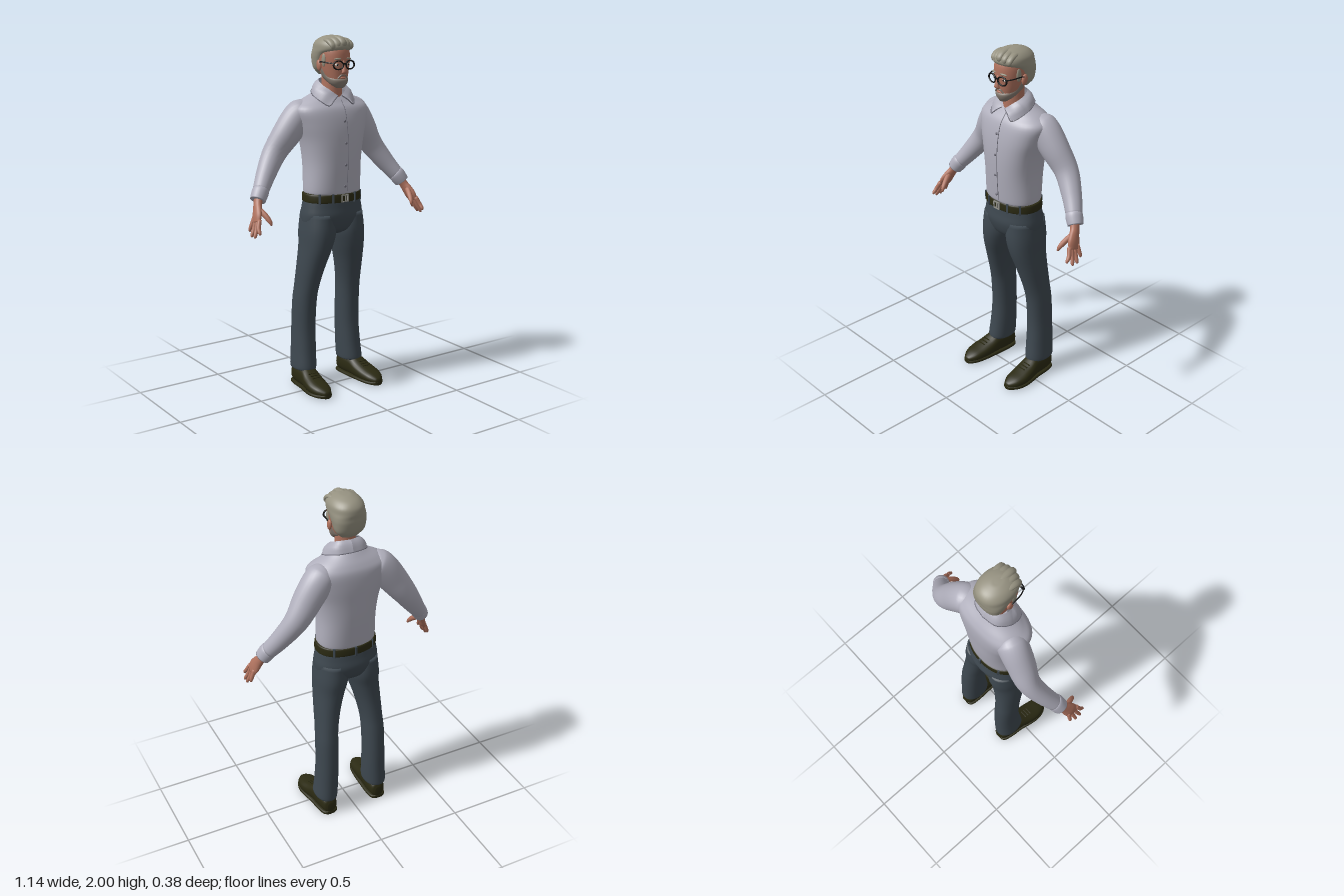
import * as THREE from 'three';

const mat = (name, color, side = THREE.FrontSide) => {
  const m = new THREE.MeshStandardMaterial({ color, side });
  m.name = name;
  return m;
};
const V = (x, y, z) => new THREE.Vector3(x, y, z);
const UP = V(0, 1, 0), FORWARD = V(0, 0, 1);

export function createModel() {
  const shirt = mat('shirt', 0xb0afbc, THREE.DoubleSide);
  const seam = mat('seam', 0x74737f);
  const trousers = mat('trousers', 0x3e4850);
  const leather = mat('leather', 0x2b2a13);
  const skin = mat('skin', 0xb0735f);
  const hair = mat('hair', 0x969281);
  const beard = mat('beard', 0x877c72);
  const black = mat('black', 0x121212);
  const eyeWhite = mat('eye white', 0xd8d4cc);
  const metal = mat('metal', 0x8e8d86);

  const model = new THREE.Group();
  model.name = 'man';
  const add = (name, geo, material, parent = model) => {
    const m = new THREE.Mesh(geo, material);
    m.name = name;
    parent.add(m);
    return m;
  };

  // Smooth closed skin through sections [x, y, z, halfA, halfB, squareness].
  // With an axis all rings stay parallel, otherwise they follow the path.
  function loft(sections, { axis = null, n = 28, sub = 5 } = {}) {
    const path = new THREE.CatmullRomCurve3(sections.map(s => V(s[0], s[1], s[2])), false, 'catmullrom');
    const size = new THREE.CatmullRomCurve3(sections.map(s => V(s[3], s[4], s[5] ?? 2)), false, 'catmullrom');
    const rows = (sections.length - 1) * sub, pos = [], idx = [];
    const power = (v, p) => Math.sign(v) * Math.pow(Math.abs(v), 2 / p);
    for (let i = 0; i <= rows; i++) {
      const c = path.getPoint(i / rows), d = size.getPoint(i / rows);
      const t = axis ? axis.clone() : path.getTangent(i / rows);
      const u = V(1, 0, 0).addScaledVector(t, -t.x).normalize();
      const v = t.clone().cross(u);
      for (let j = 0; j < n; j++) {
        const a = j / n * Math.PI * 2;
        const q = c.clone().addScaledVector(u, d.x * power(Math.cos(a), d.z))
          .addScaledVector(v, d.y * power(Math.sin(a), d.z));
        pos.push(q.x, q.y, q.z);
        if (i < rows) {
          const A = i * n + j, B = i * n + (j + 1) % n;
          idx.push(A, B, B + n, A, B + n, A + n);
        }
      }
    }
    const first = path.getPoint(0), last = path.getPoint(1), k = pos.length / 3;
    pos.push(first.x, first.y, first.z, last.x, last.y, last.z);
    for (let j = 0; j < n; j++) {
      const e = (j + 1) % n;
      idx.push(k, e, j, k + 1, rows * n + j, rows * n + e);
    }
    const g = new THREE.BufferGeometry();
    g.setAttribute('position', new THREE.Float32BufferAttribute(pos, 3));
    g.setIndex(idx);
    g.computeVertexNormals();
    return g;
  }
  const flip = (list, s) => list.map(([x, ...rest]) => [x * s, ...rest]);
  const tube = (pts, r, seg = 24) => new THREE.TubeGeometry(
    new THREE.CatmullRomCurve3(pts.map(p => V(...p))), seg, r, 6);
  const blob = (name, x, y, z, a, b, c, material, parent) => {
    const m = add(name, new THREE.SphereGeometry(1, 18, 12), material, parent);
    m.position.set(x, y, z);
    m.scale.set(a, b, c);
    return m;
  };
  const box = (name, x, y, z, w, h, d, material, parent) => {
    const m = add(name, new THREE.BoxGeometry(w, h, d), material, parent);
    m.position.set(x, y, z);
    return m;
  };

  // Shirt body
  add('shirtBody', loft([
    [0, 1.135, -.032, .164, .122, 2.3], [0, 1.16, -.032, .167, .127, 2.3], [0, 1.3, -.035, .163, .14, 2.4],
    [0, 1.42, -.038, .178, .144, 2.5], [0, 1.52, -.045, .208, .141, 2.5], [0, 1.6, -.053, .228, .128, 2.4],
    [0, 1.642, -.06, .185, .104, 2.2], [0, 1.68, -.06, .115, .076], [0, 1.71, -.055, .072, .056]
  ], { axis: UP, n: 40 }), shirt);

  // Button placket and buttons
  const front = [[1.15, .098], [1.3, .107], [1.42, .108], [1.52, .098], [1.6, .077], [1.65, .04]];
  add('placketSeam', tube(front.map(([y, z]) => [.014, y, z - .001]), .002), seam);
  for (const [y, z] of [[1.18, .099], [1.3, .107], [1.42, .108], [1.54, .095]])
    blob('button', 0, y, z, .008, .008, .004, seam);

  // Folded collar, one strip between its neck edge and its outer edge per side
  for (const s of [1, -1]) {
    const inner = [[0, 1.765, -.095], [.058, 1.76, -.075], [.074, 1.735, -.02], [.05, 1.705, .03], [.012, 1.675, .046]];
    const outer = [[0, 1.705, -.128], [.08, 1.7, -.108], [.118, 1.678, -.045], [.112, 1.65, .02], [.078, 1.625, .062]];
    const [ci, co] = [inner, outer].map(l => new THREE.CatmullRomCurve3(flip(l, s).map(p => V(...p))));
    const g = new THREE.PlaneGeometry(1, 1, 24, 4), p = g.attributes.position;
    for (let i = 0; i < p.count; i++) {
      const w = p.getY(i) + .5, t = p.getX(i) + .5;
      const q = co.getPoint(t).lerp(ci.getPoint(t), w);
      const bulge = Math.sin(w * Math.PI) * .008;
      p.setXYZ(i, q.x + s * bulge * Math.min(1, t * 3), q.y + bulge, q.z + bulge * (t > .6 ? 1 : -.3));
    }
    g.computeVertexNormals();
    add('collar', g, shirt);
    add('collarEdge', tube(flip([...outer, [.045, 1.652, .058], inner[4]], s), .003, 40), seam);
  }

  // Arms and hands
  for (const s of [1, -1]) {
    const arm = new THREE.Group();
    arm.name = s > 0 ? 'leftArm' : 'rightArm';
    model.add(arm);
    add('sleeve', loft(flip([
      [.12, 1.6, -.075, .045, .05], [.155, 1.585, -.08, .076, .08], [.19, 1.555, -.088, .085, .082],
      [.25, 1.475, -.097, .082, .077], [.325, 1.37, -.11, .068, .064], [.4, 1.265, -.078, .055, .054],
      [.465, 1.175, -.035, .043, .045]
    ], s)), shirt, arm);
    add('cuff', loft(flip([
      [.456, 1.19, -.04, .042, .044], [.463, 1.18, -.035, .046, .048], [.477, 1.158, -.027, .045, .047],
      [.49, 1.138, -.02, .042, .044]
    ], s)), shirt, arm);
    add('palm', loft(flip([
      [.478, 1.16, -.025, .026, .028], [.497, 1.12, -.008, .022, .029], [.51, 1.09, .01, .021, .036],
      [.523, 1.06, .025, .019, .042], [.535, 1.03, .035, .013, .037]
    ], s), { n: 20 }), skin, arm);
    [[.064, .55, .978, .1], [.046, .561, .957, .07], [.026, .562, .958, .038], [.007, .554, .98, .004]]
      .forEach(([z, tx, ty, tz]) => add('finger', loft(flip([
        [.53, 1.05, z, .012, .012], [.546, (1.035 + ty) / 2 + .004, (z + tz) / 2, .0115, .0115],
        [tx, ty + .01, tz, .009, .009], [tx, ty, tz, .004, .004]
      ], s), { n: 10, sub: 4 }), skin, arm));
    add('thumb', loft(flip([
      [.506, 1.1, .012, .016, .018], [.49, 1.07, .055, .015, .016], [.479, 1.04, .085, .012, .012],
      [.474, 1.02, .096, .005, .005]
    ], s), { n: 12, sub: 4 }), skin, arm);
  }

  // Trousers
  add('trouserSeat', loft([
    [0, .9, -.035, .11, .06], [0, .93, -.037, .172, .108], [0, 1, -.037, .185, .132, 2.2],
    [0, 1.06, -.035, .178, .126, 2.2], [0, 1.115, -.033, .168, .119, 2.2]
  ], { axis: UP, n: 40 }), trousers);
  for (const s of [1, -1]) {
    add('trouserLeg', loft(flip([
      [.095, 1.02, -.037, .085, .12], [.096, .92, -.037, .092, .126, 2.2], [.108, .83, -.038, .083, .115, 2.2],
      [.127, .72, -.055, .071, .098, 2.2], [.142, .6, -.077, .062, .085, 2.2], [.149, .5, -.092, .062, .08, 2.2],
      [.152, .35, -.1, .062, .079, 2.2], [.156, .22, -.096, .064, .084, 2.2], [.161, .125, -.09, .065, .09, 2.2],
      [.161, .105, -.09, .062, .087, 2.2]
    ], s), { axis: V(0, -1, 0) }), trousers);

    // Shoes: upper and welted sole
    const upper = [
      [.16, .05, -.172, .022, .03], [.16, .06, -.155, .042, .05], [.163, .065, -.1, .052, .06],
      [.167, .065, -.03, .054, .06], [.174, .051, .03, .06, .047], [.18, .041, .09, .061, .037],
      [.18, .034, .145, .05, .029], [.178, .027, .182, .025, .018], [.178, .025, .191, .008, .008]
    ];
    add('shoe', loft(flip(upper.map(r => [...r, 2.4]), s), { axis: FORWARD, n: 24 }), leather);
    add('shoeSole', loft(flip(upper.map(([x, , z, a]) =>
      [x, z > 0 ? .013 : .011, z, a + .004, .011, 4]), s), { axis: FORWARD, n: 24 }), leather);
    for (const z of [.025, .045, .065])
      box('shoeLace', s * .177, .101 - (z - .02) * .35, z, .045, .005, .006, leather);
  }

  // Belt, buckle and belt loops
  add('belt', loft([
    [0, 1.088, -.033, .17, .121, 2.2], [0, 1.093, -.033, .177, .128, 2.2], [0, 1.13, -.033, .175, .127, 2.2],
    [0, 1.137, -.033, .166, .118, 2.2]
  ], { axis: UP, n: 40 }), leather);
  for (const y of [1.094, 1.13]) box('buckleBar', 0, y, .098, .044, .006, .008, metal);
  for (const x of [-.02, .02, .004]) box('buckleSide', x, 1.112, .098, .006, .04, .008, metal);
  for (const a of [.7, 1.15, 1.99, 2.44, 4.0, 4.71, 5.42]) {
    const loop = box('beltLoop', Math.cos(a) * .179, 1.112, Math.sin(a) * .13 - .033, .012, .056, .012, trousers);
    loop.rotation.y = Math.PI / 2 - a;
  }

  // Neck and head
  const head = new THREE.Group();
  head.name = 'head';
  model.add(head);
  add('neck', loft([
    [0, 1.64, -.035, .062, .062], [0, 1.7, -.032, .057, .058], [0, 1.76, -.03, .055, .057], [0, 1.82, -.03, .055, .06]
  ], { axis: UP }), skin, head);
  add('face', loft([
    [0, 1.724, .045, .022, .018], [0, 1.742, .028, .047, .045], [0, 1.775, .002, .063, .073, 2.2],
    [0, 1.82, -.014, .076, .093, 2.2], [0, 1.87, -.02, .083, .104, 2.2], [0, 1.92, -.025, .083, .104, 2.1],
    [0, 1.96, -.03, .068, .085], [0, 1.985, -.03, .035, .045]
  ], { axis: UP, n: 32 }), skin, head);
  add('beard', loft([
    [0, 1.718, .045, .024, .02], [0, 1.74, .03, .05, .047], [0, 1.763, .011, .062, .067, 2.2],
    [0, 1.784, -.012, .069, .06, 2.2], [0, 1.815, -.02, .0775, .032, 2.2], [0, 1.835, -.02, .078, .015, 2.2]
  ], { axis: UP, n: 32 }), beard, head);
  add('moustache', tube([[-.03, 1.77, .071], [-.014, 1.787, .079], [0, 1.789, .081], [.014, 1.787, .079], [.03, 1.77, .071]], .0045), beard, head);
  blob('mouth', 0, 1.772, .076, .019, .006, .006, skin, head);
  add('nose', loft([
    [0, 1.866, .076, .008, .009], [0, 1.835, .086, .01, .01], [0, 1.81, .091, .015, .012],
    [0, 1.8, .089, .017, .011], [0, 1.793, .083, .01, .007]
  ], { axis: V(0, -1, 0), n: 16 }), skin, head);

  // Hair with swept-back locks
  add('hair', loft([
    [0, 1.785, -.08, .05, .026], [0, 1.82, -.079, .08, .051, 2.4], [0, 1.87, -.072, .091, .069, 2.5],
    [0, 1.9, -.056, .094, .086, 2.5], [0, 1.925, -.032, .094, .112, 2.3], [0, 1.955, -.028, .089, .11, 2.2],
    [0, 1.98, -.027, .068, .086], [0, 1.995, -.025, .035, .045], [0, 1.998, -.025, .01, .012]
  ], { axis: UP, n: 36 }), hair, head);
  for (let i = -2; i <= 2; i++) {
    const x = i * .028, drop = Math.abs(i) * .007, back = Math.abs(i) * .008;
    add('hairLock', loft([
      [x * .9 + .008, 1.937 - drop, .068 - back, .012, .006], [x + .004, 1.957 - drop, .078 - back, .019, .013],
      [x, 1.98 - drop, .05 - back, .021, .014], [x * .9 - .003, 1.986 - drop, -.01, .02, .012],
      [x * .8, 1.978 - drop, -.07, .012, .007]
    ], { n: 12 }), hair, head);
  }

  // Ears, eyes, brows and glasses
  for (const s of [1, -1]) {
    blob('ear', s * .088, 1.838, -.026, .011, .03, .019, skin, head).rotation.x = -.2;
    blob('sideburn', s * .08, 1.868, .008, .007, .036, .016, hair, head);
    blob('eye', s * .035, 1.844, .071, .014, .008, .007, eyeWhite, head);
    blob('pupil', s * .035, 1.844, .076, .005, .006, .004, black, head);
    const brow = blob('eyebrow', s * .037, 1.876, .077, .021, .005, .006, hair, head);
    brow.rotation.set(0, s * .3, -s * .08);
    const rim = add('glassesRim', new THREE.TorusGeometry(.028, .0045, 8, 28), black, head);
    rim.position.set(s * .038, 1.843, .088);
    rim.scale.set(1.08, .82, 1);
    rim.rotation.y = s * .12;
    add('glassesArm', tube([[s * .068, 1.853, .084], [s * .084, 1.856, .05], [s * .091, 1.857, -.01], [s * .092, 1.845, -.04]], .0035), black, head);
  }
  box('glassesBridge', 0, 1.85, .092, .022, .007, .006, black, head);

  return model;
}
